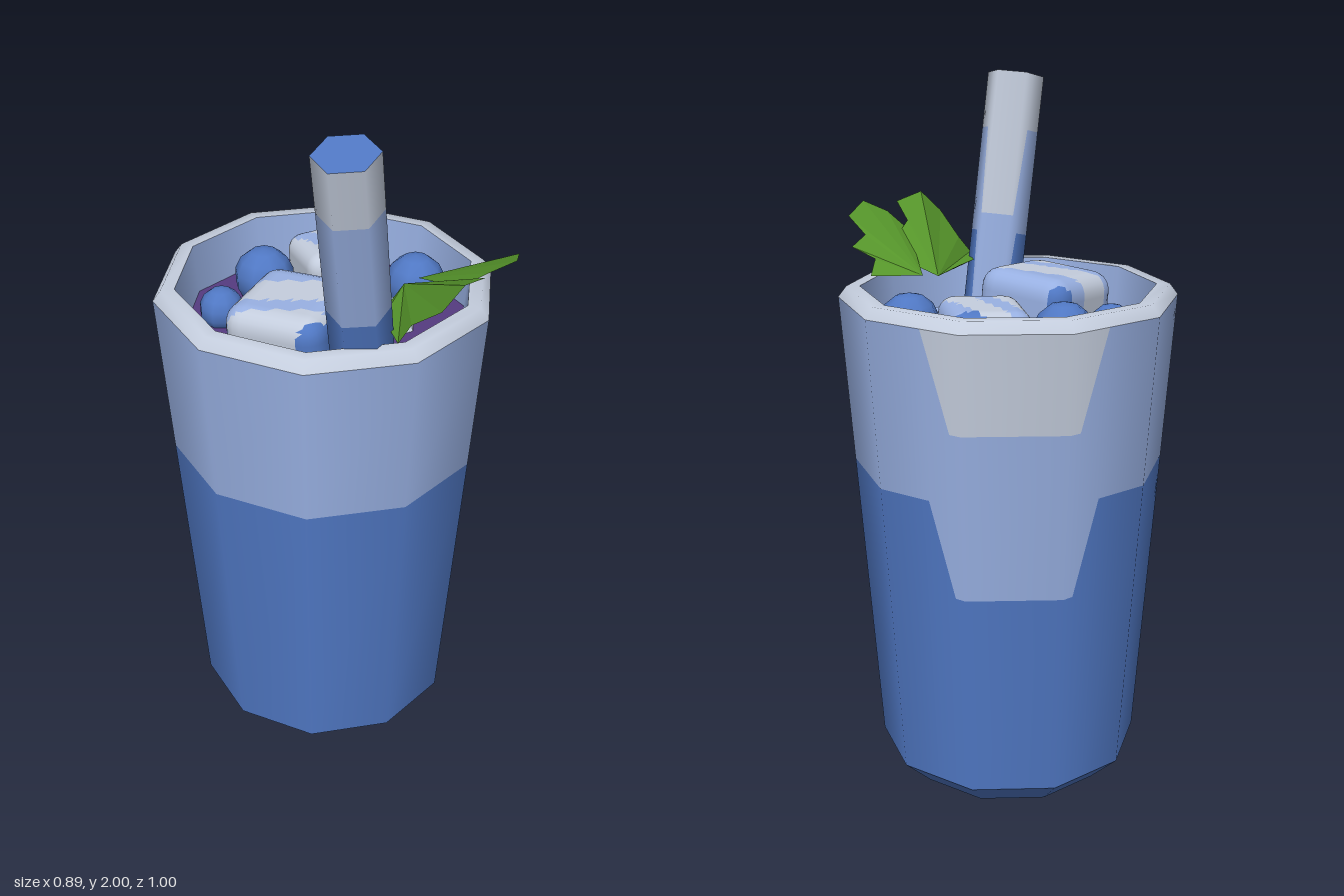
import * as THREE from 'three';
import { ConvexGeometry } from 'three/addons/geometries/ConvexGeometry.js';

const mat = (name, color, side = THREE.FrontSide) => {
  const m = new THREE.MeshStandardMaterial({ color, side });
  m.name = name;
  return m;
};
const blue = mat('blue', 0x5078c4);
const mid = mat('lightBlue', 0x98b0e2);
const pale = mat('paleGrey', 0xc4cddd);
const purple = mat('purpleDrink', 0x553b80);
const green = mat('leafGreen', 0x55942a, THREE.DoubleSide);
green.flatShading = true;

const V = (x, y, z) => new THREE.Vector3(x, y, z);

function add(parent, name, geometry, material) {
  const mesh = new THREE.Mesh(geometry, material);
  mesh.name = name;
  parent.add(mesh);
  return mesh;
}

// Polygonal tapered wall in three colour bands; the bands dip over one back face.
function bandedWall(parent, name, { sides, r0, r1, y0, y1, b1, b2, dip }) {
  const step = (Math.PI * 2) / sides;
  const ramp = [-0.4, -0.12, 1.12, 1.4];
  const ks = [...ramp];
  for (let k = -1; k < sides; k++) ks.push(k);
  ks.sort((a, b) => a - b);
  const dipAt = (k) => {
    const out = Math.max(ramp[1] - k, k - ramp[2], 0);
    return dip * Math.max(0, 1 - out / 0.28);
  };
  const radius = (k, y) => {
    const m = (k - Math.floor(k) - 0.5) * step;
    const r = r0 + ((r1 - r0) * (y - y0)) / (y1 - y0);
    return (r * Math.cos(step / 2)) / Math.cos(m);
  };
  const lines = [() => y0, (k) => b1 - dipAt(k), (k) => b2 - dipAt(k), () => y1];
  const slope = (r0 - r1) / (y1 - y0);
  [blue, mid, pale].forEach((material, band) => {
    const pos = [], nor = [], idx = [];
    ks.forEach((k, i) => {
      const a = k * step;
      for (const line of [lines[band], lines[band + 1]]) {
        const y = line(k), r = radius(k, y);
        pos.push(r * Math.sin(a), y, -r * Math.cos(a));
        nor.push(...V(Math.sin(a), slope, -Math.cos(a)).normalize().toArray());
      }
      const height = (n) => lines[band + 1](n) - lines[band](n);
      if (i && height(k) + height(ks[i - 1]) > 1e-5) {
        const p = 2 * i - 2, q = 2 * i;
        idx.push(q, p, p + 1, q, p + 1, q + 1);
      }
    });
    const g = new THREE.BufferGeometry();
    g.setAttribute('position', new THREE.Float32BufferAttribute(pos, 3));
    g.setAttribute('normal', new THREE.Float32BufferAttribute(nor, 3));
    g.setIndex(idx);
    add(parent, name + ['Lower', 'Middle', 'Upper'][band], g, material);
  });
}

const lathe = (points, sides) =>
  new THREE.LatheGeometry(points.map(([x, y]) => new THREE.Vector2(x, y)), sides);

const disc = (r, sides, y, up = true) =>
  new THREE.CircleGeometry(r, sides, Math.PI / 2).rotateX(up ? -Math.PI / 2 : Math.PI / 2).translate(0, y, 0);

// Sorts triangles into colour groups by a rule on their centre.
function paint(geometry, rule) {
  const g = geometry.index ? geometry.toNonIndexed() : geometry;
  const p = g.attributes.position;
  const lists = [[], [], []];
  for (let i = 0; i < p.count; i += 3) {
    const c = V(0, 0, 0);
    for (let j = 0; j < 3; j++) c.add(V(0, 0, 0).fromBufferAttribute(p, i + j));
    c.divideScalar(3);
    lists[rule(c)].push(i, i + 1, i + 2);
  }
  g.clearGroups();
  g.setIndex(lists.flat());
  let start = 0;
  lists.forEach((l, m) => {
    if (l.length) g.addGroup(start, l.length, m);
    start += l.length;
  });
  return g;
}

// Cube with softly rounded edges.
function iceGeometry(size, round, rotation, center) {
  const g = new THREE.BoxGeometry(size, size, size, 14, 14, 14);
  const p = g.attributes.position, h = size / 2 - round;
  for (let i = 0; i < p.count; i++) {
    const v = V(0, 0, 0).fromBufferAttribute(p, i);
    const core = v.clone().clampScalar(-h, h);
    const n = v.sub(core).normalize();
    g.attributes.normal.setXYZ(i, n.x, n.y, n.z);
    core.addScaledVector(n, round);
    p.setXYZ(i, core.x, core.y, core.z);
  }
  const q = new THREE.Quaternion().setFromEuler(new THREE.Euler(...rotation, 'YXZ'));
  return g.applyMatrix4(new THREE.Matrix4().compose(V(...center), q, V(1, 1, 1)));
}

// Jagged leaf fanned out from its stem end.
function leafGeometry(points) {
  const idx = [];
  for (let i = 1; i < points.length - 1; i++) idx.push(0, i, i + 1);
  const g = new THREE.BufferGeometry();
  g.setAttribute('position', new THREE.Float32BufferAttribute(points.flat(), 3));
  g.setIndex(idx);
  const flat = g.toNonIndexed();
  flat.computeVertexNormals();
  return flat;
}

export function createModel() {
  const model = new THREE.Group();
  model.name = 'berryDrink';

  // Ten-sided glass
  const glass = new THREE.Group();
  glass.name = 'glass';
  glass.position.z = -0.03;
  model.add(glass);
  bandedWall(glass, 'glassWall', { sides: 10, r0: 0.378, r1: 0.47, y0: 0.08, y1: 1.42, b1: 0.95, b2: 1.42, dip: 0.27 });
  add(glass, 'glassFoot', lathe([[0.295, 0], [0.378, 0.08]], 10), blue);
  add(glass, 'glassBottom', disc(0.295, 10, 0, false), blue);
  add(glass, 'rim', lathe([[0.47, 1.42], [0.447, 1.45], [0.41, 1.45]], 10), pale);
  add(glass, 'innerWall', lathe([[0.41, 1.45], [0.396, 1.3]], 10), mid);
  add(glass, 'drink', disc(0.398, 10, 1.31), purple);

  // Leaning six-sided straw
  const straw = new THREE.Group();
  straw.name = 'straw';
  const foot = V(-0.042, 1.25, 0.26), tip = V(-0.17, 1.984, 0.37);
  const length = foot.distanceTo(tip);
  straw.position.copy(foot);
  straw.quaternion.setFromUnitVectors(V(0, 1, 0), tip.clone().sub(foot).normalize());
  model.add(straw);
  bandedWall(straw, 'strawWall', { sides: 6, r0: 0.083, r1: 0.083, y0: 0, y1: length, b1: length - 0.46, b2: length - 0.16, dip: 0.25 });
  add(straw, 'strawTop', disc(0.083, 6, length), blue);

  // Ice
  const iceMaterials = [pale, mid, blue];
  add(model, 'largeIce', paint(iceGeometry(0.29, 0.055, [0.05, -0.98, 0.06], [-0.135, 1.325, 0.05]), (c) => {
    if (c.z > 0.2 || c.z < -0.115) return 2;
    const q = 0.62 * (c.x + 0.135) - 0.78 * (c.z - 0.05);
    return q > 0.06 || (q < -0.04 && q > -0.09) ? 1 : 0;
  }), iceMaterials);
  add(model, 'smallIce', paint(iceGeometry(0.225, 0.045, [-0.06, -0.13, 0.04], [0.137, 1.335, -0.21]), (c) => {
    const q = c.x - 0.137 - 0.3 * (c.z + 0.21);
    if (c.z < -0.28 && q > 0.06) return 2;
    return q > 0.065 || (q < -0.01 && q > -0.06) ? 1 : 0;
  }), iceMaterials);
  const shard = new ConvexGeometry([
    V(0.12, 1.3, -0.05), V(0.158, 1.3, -0.05), V(0.22, 1.3, 0.09), V(0.175, 1.3, 0.15), V(0.055, 1.3, 0.15), V(0.04, 1.3, 0.11),
    V(0.085, 1.365, 0.035), V(0.178, 1.365, 0.035), V(0.19, 1.375, 0.09), V(0.075, 1.375, 0.09),
  ]);
  add(model, 'iceShard', paint(shard, (c) => (c.z < 0.035 ? 2 : c.z < 0.09 ? 1 : 0)), iceMaterials);

  // Berries
  for (const [x, y, z, r] of [[-0.07, 1.36, -0.26, 0.086], [-0.247, 1.345, -0.172, 0.063], [0.282, 1.36, -0.015, 0.086]]) {
    add(model, 'berry', new THREE.SphereGeometry(r, 9, 7).translate(x, y, z), blue);
  }

  // Leaf sprig
  add(model, 'leftLeaf', leafGeometry([
    [0.155, 1.455, 0.125], [0.07, 1.465, 0.2], [0, 1.465, 0.27], [-0.035, 1.465, 0.4], [0, 1.51, 0.405], [0.03, 1.58, 0.49],
    [0.09, 1.64, 0.495], [0.177, 1.62, 0.457], [0.165, 1.58, 0.375], [0.21, 1.545, 0.33], [0.2, 1.475, 0.2],
  ]), green);
  add(model, 'rightLeaf', leafGeometry([
    [0.2, 1.46, 0.125], [0.17, 1.55, 0.36], [0.22, 1.6, 0.41], [0.285, 1.63, 0.437], [0.35, 1.6, 0.36], [0.32, 1.555, 0.29],
    [0.37, 1.53, 0.25], [0.315, 1.5, 0.205], [0.34, 1.46, 0.165],
  ]), green);

  return model;
}
